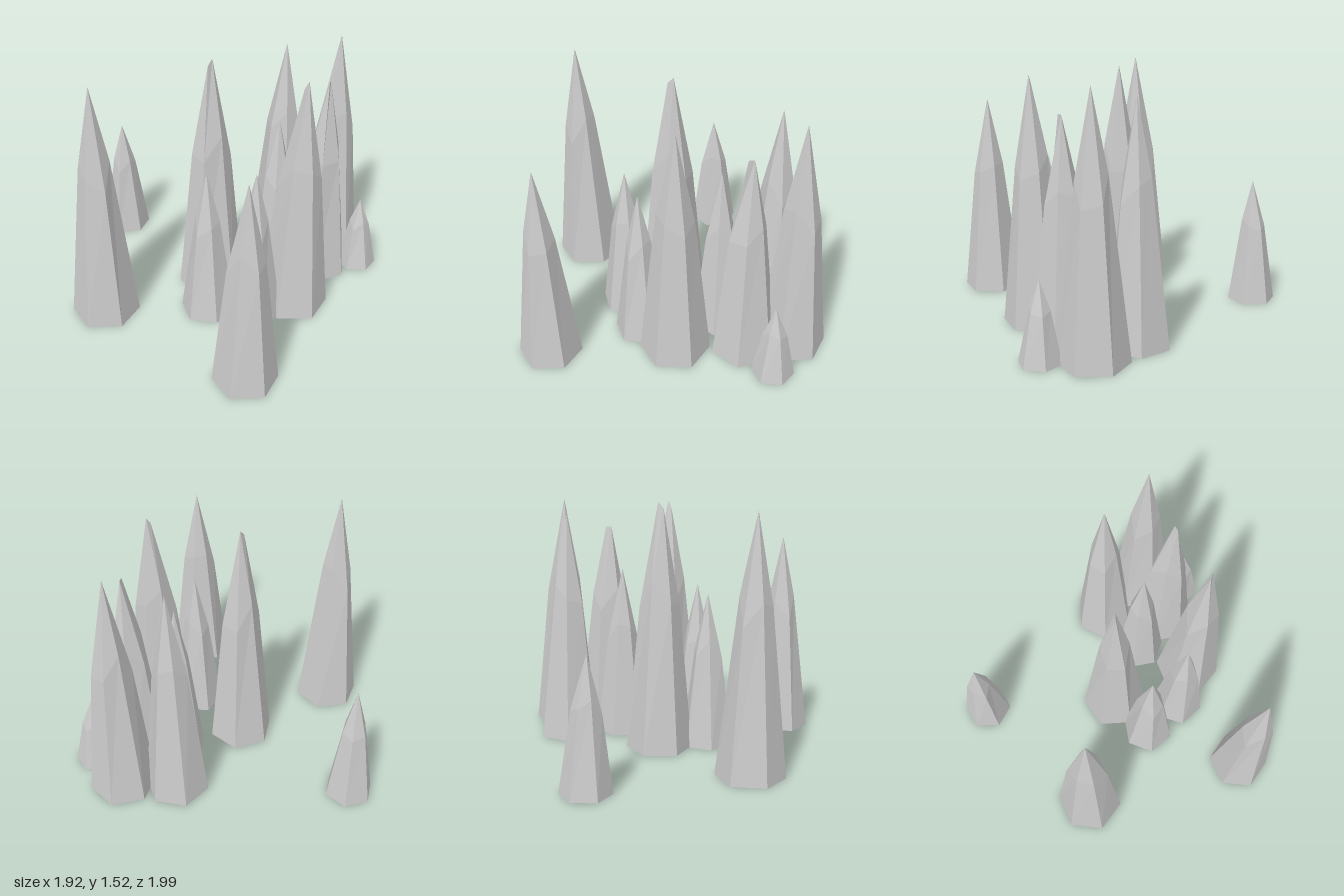
import * as THREE from 'three';

const SIDES = 6;
const material = new THREE.MeshStandardMaterial({ color: 0xcccccc, flatShading: true });

// Six-sided rock spike: base ring, a bulging middle ring, and a pointed or ridged tip.
// x, z, radius, turn (degrees) place the base; tip is [x, y, z];
// ridge is an optional second, slightly lower tip on the -x side.
function spike({ x, z, radius, turn, tip, ridge }, index) {
  const apex = new THREE.Vector3(...tip);
  const second = ridge ? new THREE.Vector3(...ridge) : apex;
  const base = [], middle = [], top = [];
  for (let i = 0; i < SIDES; i++) {
    const a = THREE.MathUtils.degToRad(turn) + (i * Math.PI * 2) / SIDES;
    const corner = new THREE.Vector3(x + radius * Math.cos(a), 0, z + radius * Math.sin(a));
    const end = Math.cos(a) < -0.3 ? second : apex;
    // uneven shoulder heights give the chipped look
    const t = 0.64 + 0.06 * Math.sin(i * 2.4 + index * 1.7);
    const shoulder = corner.clone().lerp(end, 1 - 1.4 * (1 - t));
    shoulder.y = end.y * t;
    base.push(corner);
    middle.push(shoulder);
    top.push(end);
  }

  const points = [];
  const face = (a, b, c) => {
    if (a !== b && b !== c && a !== c) points.push(a, b, c);
  };
  for (let i = 0; i < SIDES; i++) {
    const j = (i + 1) % SIDES;
    for (const [low, high] of [[base, middle], [middle, top]]) {
      face(low[j], low[i], high[i]);
      face(low[j], high[i], high[j]);
    }
    if (i > 0 && j > 0) face(base[0], base[i], base[j]); // underside
  }

  const geometry = new THREE.BufferGeometry().setFromPoints(points);
  geometry.computeVertexNormals();
  const mesh = new THREE.Mesh(geometry, material);
  mesh.name = `rockSpike${index + 1}`;
  return mesh;
}

export function createModel() {
  const group = new THREE.Group();
  group.name = 'rockSpikes';
  const spikes = [
    // outlying spikes
    { x: -0.06, z: -0.85, radius: 0.15, turn: 34, tip: [-0.07, 0.78, -0.84] },
    { x: -0.765, z: -0.205, radius: 0.204, turn: 42, tip: [-0.775, 1.51, -0.2] },
    { x: -0.59, z: 0.81, radius: 0.188, turn: 41, tip: [-0.59, 1.27, 0.81] },
    // left and middle of the cluster
    { x: -0.078, z: 0.019, radius: 0.204, turn: 32, tip: [-0.065, 1.525, 0.02], ridge: [-0.1, 1.49, 0.02] },
    { x: -0.31, z: 0.228, radius: 0.165, turn: 56, tip: [-0.31, 0.96, 0.22] },
    { x: -0.136, z: 0.452, radius: 0.165, turn: 53, tip: [-0.14, 0.98, 0.45] },
    { x: 0.112, z: 0.548, radius: 0.211, turn: 44, tip: [0.13, 1.5, 0.57], ridge: [0.105, 1.46, 0.56] },
    { x: 0.293, z: 0.23, radius: 0.165, turn: 24, tip: [0.295, 1.08, 0.23] },
    // right of the cluster
    { x: 0.505, z: 0.41, radius: 0.202, turn: 24, tip: [0.52, 1.325, 0.42], ridge: [0.49, 1.325, 0.435] },
    { x: 0.571, z: 0.01, radius: 0.197, turn: 3, tip: [0.58, 1.43, 0.02] },
    { x: 0.77, z: 0.282, radius: 0.204, turn: 38, tip: [0.765, 1.51, 0.29] },
    { x: 0.725, z: 0.573, radius: 0.126, turn: 50, tip: [0.72, 0.475, 0.57] },
  ];
  spikes.forEach((s, i) => group.add(spike(s, i)));
  return group;
}
